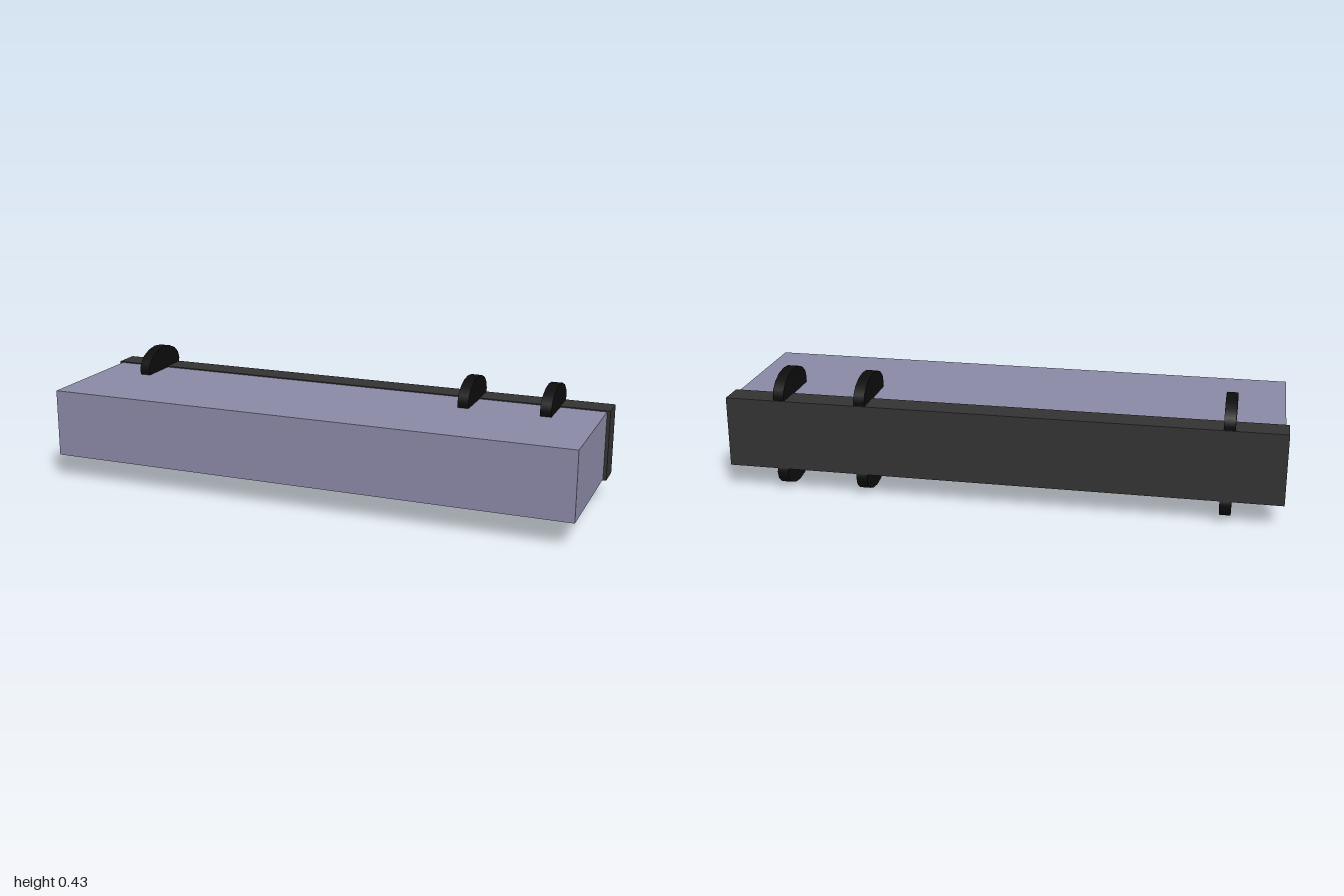
import * as THREE from 'three';

const material = (name, color) => {
  const m = new THREE.MeshStandardMaterial({ color });
  m.name = name;
  return m;
};

export function createModel() {
  const group = new THREE.Group();
  const lavender = material('lavender', 0x8a89a6);
  const charcoal = material('charcoal', 0x333333);
  const black = material('black', 0x0d0d0d);

  const add = (name, geometry, mat, x, y, z) => {
    const mesh = new THREE.Mesh(geometry, mat);
    mesh.name = name;
    mesh.position.set(x, y, z);
    group.add(mesh);
  };

  // Main slab and the slightly larger bar along its back edge
  add('slab', new THREE.BoxGeometry(1.976, 0.252, 0.485), lavender, 0, 0.217, 0.0495);
  add('backBar', new THREE.BoxGeometry(2, 0.26, 0.098), charcoal, 0, 0.217, -0.242);

  // Flattened sixteen-sided discs, half sunk into the top and underside
  const disc = new THREE.CylinderGeometry(1, 1, 0.04, 16)
    .rotateZ(Math.PI / 2)
    .scale(1, 0.073, 0.124);
  for (const x of [-0.8, 0.5, 0.8]) {
    add('upperDisc', disc, black, x, 0.361, -0.168);
    add('lowerDisc', disc, black, x, 0.073, -0.168);
  }
  return group;
}
